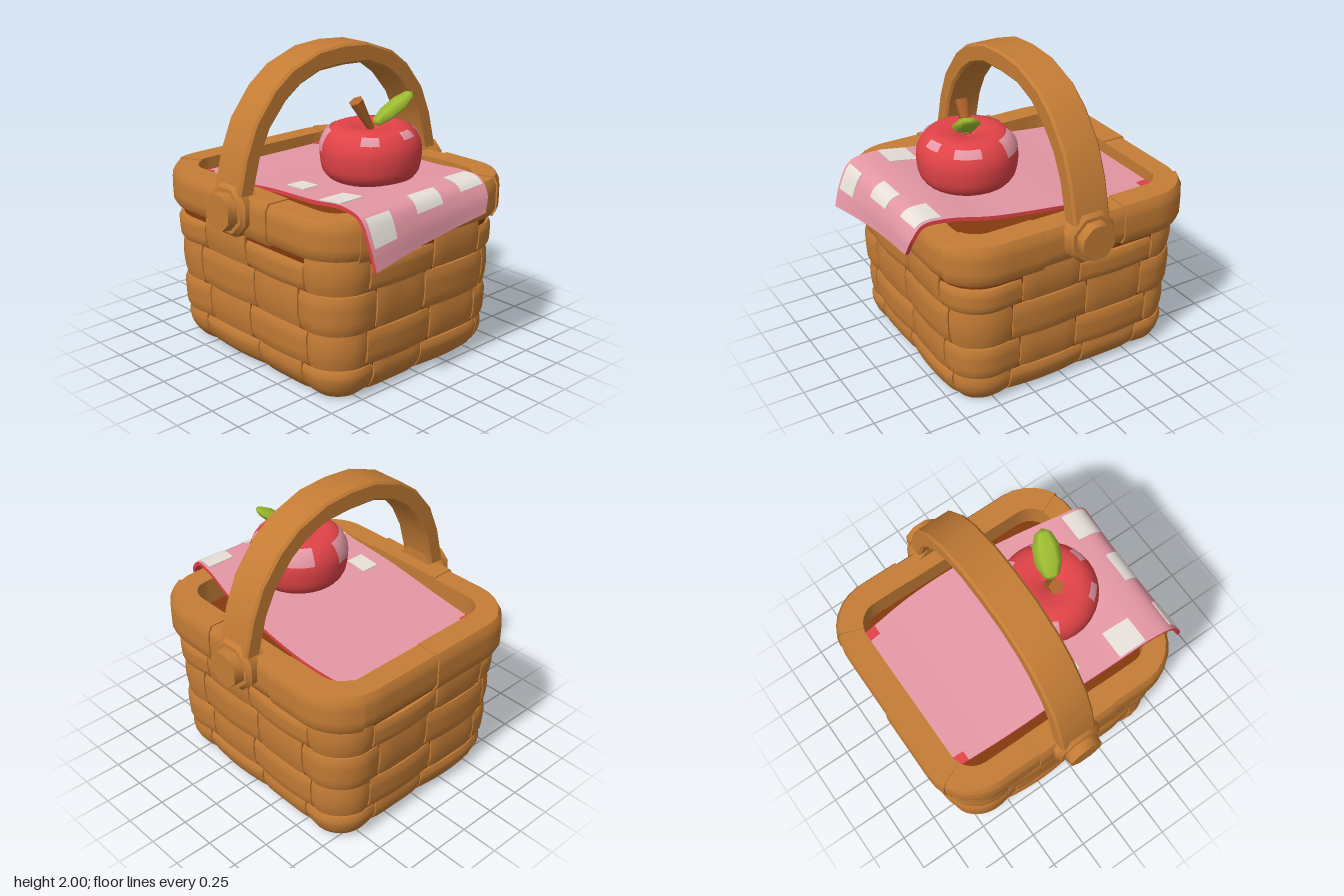
import * as THREE from 'three';
import { toCreasedNormals } from 'three/addons/utils/BufferGeometryUtils.js';

const mat = (name, color, side = THREE.FrontSide) => {
  const m = new THREE.MeshStandardMaterial({ color, side });
  m.name = name;
  return m;
};

// Basket footprint: rounded rectangle with half sizes A, B and corner radius R
const A = 0.81, B = 0.725, R = 0.25, CX = -0.055;
const ARC = R * Math.PI / 2;
const PERIMETER = 4 * (A - R) + 4 * (B - R) + 4 * ARC;

// Point and outward normal at distance s along the footprint, from the middle of the front
function footprint(s) {
  s = (((s + A - R) % PERIMETER) + PERIMETER) % PERIMETER;
  for (let i = 0; ; i++) {
    let a = i * Math.PI / 2;
    const h = i % 2 ? B - R : A - R, d = i % 2 ? A : B;
    const n = [Math.sin(a), Math.cos(a)], t = [Math.cos(a), -Math.sin(a)];
    if (s < 2 * h) return { x: n[0] * d + t[0] * (s - h), z: n[1] * d + t[1] * (s - h), nx: n[0], nz: n[1] };
    s -= 2 * h;
    if (s < ARC || i === 3) {
      a += s / R;
      const nx = Math.sin(a), nz = Math.cos(a);
      return { x: n[0] * (d - R) + t[0] * h + nx * R, z: n[1] * (d - R) + t[1] * h + nz * R, nx, nz };
    }
    s -= ARC;
  }
}

// Basket walls narrow toward the base
function inset(y) {
  if (y > 0.9) return 0;
  if (y > 0.2) return 0.035 * (0.9 - y) / 0.7;
  return 0.035 + 0.075 * ((0.2 - y) / 0.2) ** 2.2;
}

// Box bent around the footprint; bulge lowers the outer face toward its edges
function wrap(s0, s1, y0, y1, inner, outer, bulge = () => 0, segs = 10) {
  const g = new THREE.BoxGeometry(2, 2, 1, segs, 6, 1);
  const p = g.attributes.position;
  for (let i = 0; i < p.count; i++) {
    const u = p.getX(i), v = p.getY(i);
    const y = THREE.MathUtils.lerp(y0, y1, (v + 1) / 2);
    const f = footprint(THREE.MathUtils.lerp(s0, s1, (u + 1) / 2));
    const o = (p.getZ(i) > 0 ? outer - bulge(u, v) : inner) - inset(y);
    p.setXYZ(i, CX + f.x + f.nx * o, y, f.z + f.nz * o);
  }
  g.computeVertexNormals();
  return g;
}

// Flat plate in the shape of the footprint, shrunk by a margin
function plate(margin, top) {
  const pts = [];
  for (let i = 0; i < 56; i++) {
    const f = footprint(i * PERIMETER / 56);
    pts.push(new THREE.Vector2(f.x - f.nx * margin, f.z - f.nz * margin));
  }
  const g = new THREE.ExtrudeGeometry(new THREE.Shape(pts), { depth: 0.04, bevelEnabled: false });
  return g.rotateX(Math.PI / 2).translate(CX, top, 0);
}

export function createModel() {
  const model = new THREE.Group();
  const wicker = mat('wicker', 0xc47c35);
  const dark = mat('dark wicker', 0x843a0e);
  const red = mat('red', 0xe04347);
  const pink = mat('pink', 0xe597a5, THREE.DoubleSide);
  const white = mat('white', 0xe8e1da);
  const green = mat('leaf green', 0x9dbb30);
  const bark = mat('stem brown', 0xb0652a);
  const add = (name, geometry, material, parent = model) => {
    const m = new THREE.Mesh(geometry, material);
    m.name = name;
    parent.add(m);
    return m;
  };

  // Dark core behind the weave, closed just below the cloth
  const basket = new THREE.Group();
  basket.name = 'basket';
  model.add(basket);
  add('innerWall', wrap(0, PERIMETER, 0.03, 1.05, -0.05, 0.008, undefined, 80), dark, basket);
  add('innerFloor', plate(0.04, 1.0), dark, basket);

  // Base plate with woven strips beneath
  add('base', plate(0.09, 0.055), wicker, basket);
  for (let i = -1; i <= 1; i++) {
    const strip = new THREE.BoxGeometry(i ? 1.16 : 1.36, 0.02, 0.36);
    add('baseStrip', strip.translate(CX, 0.012, i * 0.385), wicker, basket);
  }

  // Checkered weave: horizontal strips alternate with upright ones, dark gaps between
  const rows = [0.008, 0.21, 0.44, 0.7, 0.925], cells = 12, step = PERIMETER / cells;
  for (let r = 0; r < 4; r++) {
    for (let k = 0; k < cells; k++) {
      const c = -0.19 + k * step;
      const horizontal = (k + r) % 2 === 0;
      const half = horizontal ? step * 0.555 : step * 0.42;
      const top = rows[r + 1] - (horizontal ? (r === 3 ? 0.055 : 0.007) : 0);
      const bulge = horizontal
        ? (u, v) => 0.022 * u * u + 0.016 * v ** 6
        : (u, v) => 0.014 * v * v + 0.012 * u ** 6;
      add(horizontal ? 'horizontalStrip' : 'uprightStrip',
        wrap(c - half, c + half, rows[r], top, -0.02, horizontal ? 0.046 : 0.038, bulge), wicker, basket);
    }
  }

  // Rim made of bent bands
  for (let k = 0; k < 10; k++) {
    const w = PERIMETER / 10, s = 0.01 + (k - 0.5) * w, odd = k % 2;
    add('rimBand', wrap(s, s + w, 0.92 + odd * 0.01, 1.185 - odd * 0.008, -0.095, 0.085 - odd * 0.01,
      (u, v) => 0.025 * v ** 6), wicker, basket);
  }

  // Arched handle
  const outer = [[0.84, 1.05], [0.835, 1.2], [0.78, 1.42], [0.7, 1.61], [0.56, 1.785], [0.42, 1.89], [0.2, 1.97], [0, 1.985]];
  const inner = [[0.75, 1.05], [0.75, 1.2], [0.69, 1.42], [0.61, 1.58], [0.48, 1.73], [0.36, 1.815], [0.2, 1.875], [0, 1.885]];
  const mirrored = (pts) => [...pts, ...pts.slice(0, -1).reverse().map(([z, y]) => [-z, y])];
  const outline = [...mirrored(outer), ...mirrored(inner).reverse()].map(([z, y]) => new THREE.Vector2(z, y));
  const arch = new THREE.ExtrudeGeometry(new THREE.Shape(outline),
    { depth: 0.225, bevelThickness: 0.015, bevelSize: 0.015, bevelSegments: 1 });
  arch.translate(0, 0, -0.1125).rotateY(-Math.PI / 2).translate(-0.073, 0, 0);
  add('handle', toCreasedNormals(arch, 0.6), wicker);

  // Handle mounts with pegs, front and back
  const disc = (name, r0, r1, z0, z1, side) => {
    const g = new THREE.CylinderGeometry(r1, r0, z1 - z0, 8);
    g.rotateY(Math.PI / 8).rotateX(Math.PI / 2).translate(0, 0, (z0 + z1) / 2);
    if (side < 0) g.rotateY(Math.PI);
    g.translate(-0.07, 1.085, 0);
    add(name, toCreasedNormals(g, 0.8), wicker);
  };
  for (const side of [1, -1]) {
    disc('handleMount', 0.175, 0.175, 0.72, 0.84, side);
    disc('handleMountBevel', 0.175, 0.15, 0.84, 0.865, side);
    disc('handlePeg', 0.125, 0.12, 0.86, 0.93, side);
  }

  // Cloth spanned between a back rail and a front rail, draped over the left rim
  const rail = (pts) => new THREE.CatmullRomCurve3(pts.map((p) => new THREE.Vector3(...p)));
  const back = rail([[-0.78, 1.1, -0.52], [-0.4, 1.13, -0.56], [0, 1.17, -0.55], [0.4, 1.2, -0.5],
    [0.68, 1.235, -0.44], [0.83, 1.225, -0.42], [0.9, 1.14, -0.41], [0.925, 1.03, -0.37]]);
  const front = rail([[-0.78, 1.1, 0.54], [-0.4, 1.13, 0.56], [0, 1.18, 0.57], [0.4, 1.205, 0.58],
    [0.68, 1.235, 0.59], [0.83, 1.2, 0.6], [0.91, 1.06, 0.6], [0.955, 0.91, 0.59]]);
  const clothPoint = (u, v) => {
    const p = back.getPoint(u).lerp(front.getPoint(u), v);
    p.x -= 0.1 * Math.max(0, u - 0.75) * Math.sin(v * Math.PI);
    return p;
  };
  // Sheet over a part of the cloth, between two heights above its surface
  const clothSheet = (u0, u1, v0, v1, low, high, nu, nv) => {
    const g = new THREE.BoxGeometry(1, 1, 1, nu, 1, nv), p = g.attributes.position;
    for (let i = 0; i < p.count; i++) {
      const u = u0 + (u1 - u0) * (p.getX(i) + 0.5), v = v0 + (v1 - v0) * (p.getZ(i) + 0.5);
      const q = clothPoint(u, v);
      const du = clothPoint(Math.min(1, u + 0.01), v).sub(clothPoint(Math.max(0, u - 0.01), v));
      const dv = clothPoint(u, Math.min(1, v + 0.01)).sub(clothPoint(u, Math.max(0, v - 0.01)));
      q.addScaledVector(dv.cross(du).normalize(), p.getY(i) > 0 ? high : low);
      p.setXYZ(i, q.x, q.y, q.z);
    }
    g.computeVertexNormals();
    return g;
  };
  // Pink face with red sides and underside
  add('cloth', clothSheet(0, 1, 0, 1, -0.025, 0, 42, 12), [red, red, pink, red, red, red]);
  for (const [u0, u1, v0, v1] of [[0.3, 0.355, 0.8, 0.91], [0.45, 0.545, 0.81, 0.99], [0.72, 0.88, 0.79, 0.97],
    [0.66, 0.8, 0.38, 0.59], [0.59, 0.77, 0.02, 0.21]]) {
    add('clothSquare', clothSheet(u0, u1, v0, v1, 0, 0.006, 8, 6), white);
  }
  for (const v of [0, 0.94]) {
    add('clothCorner', clothSheet(0, 0.035, v, v + 0.06, 0, 0.006, 4, 4), red);
  }

  // Apple with pale spots that share its facets
  const apple = new THREE.Group();
  apple.name = 'apple';
  apple.position.set(0.29, 0, 0);
  model.add(apple);
  const profile = new THREE.SplineCurve([[0, 1.21], [0.22, 1.2], [0.295, 1.25], [0.317, 1.34], [0.312, 1.43],
    [0.27, 1.505], [0.2, 1.54], [0.1, 1.53], [0, 1.49]].map((p) => new THREE.Vector2(...p))).getPoints(32);
  profile.forEach((p) => { p.x = Math.max(0, p.x); });
  add('appleSkin', new THREE.LatheGeometry(profile, 32), red, apple);
  const unit = Math.PI * 2 / 32;
  for (const [start, n, low, high] of [[3, 2, 18, 21], [8, 2, 19, 22], [12, 3, 18, 21], [18, 4, 16, 22], [25, 5, 14, 21]]) {
    const strip = profile.slice(low, high + 1).map((p) => new THREE.Vector2(p.x + 0.004, p.y + 0.003));
    add('appleSpot', new THREE.LatheGeometry(strip, n, start * unit, n * unit), pink, apple);
  }

  // Stem and leaf
  const stem = add('stem', new THREE.CylinderGeometry(0.048, 0.024, 0.22, 6), bark);
  stem.position.set(0.275, 1.6, 0.05);
  stem.quaternion.setFromUnitVectors(new THREE.Vector3(0, 1, 0), new THREE.Vector3(-0.02, 0.19, 0.11).normalize());
  const blade = new THREE.SphereGeometry(1, 6, 5).rotateX(Math.PI / 2).scale(0.09, 0.04, 0.165);
  const leaf = add('leaf', blade, green);
  leaf.position.set(0.36, 1.63, -0.12);
  leaf.lookAt(0.405, 1.72, -0.24);

  return model;
}
